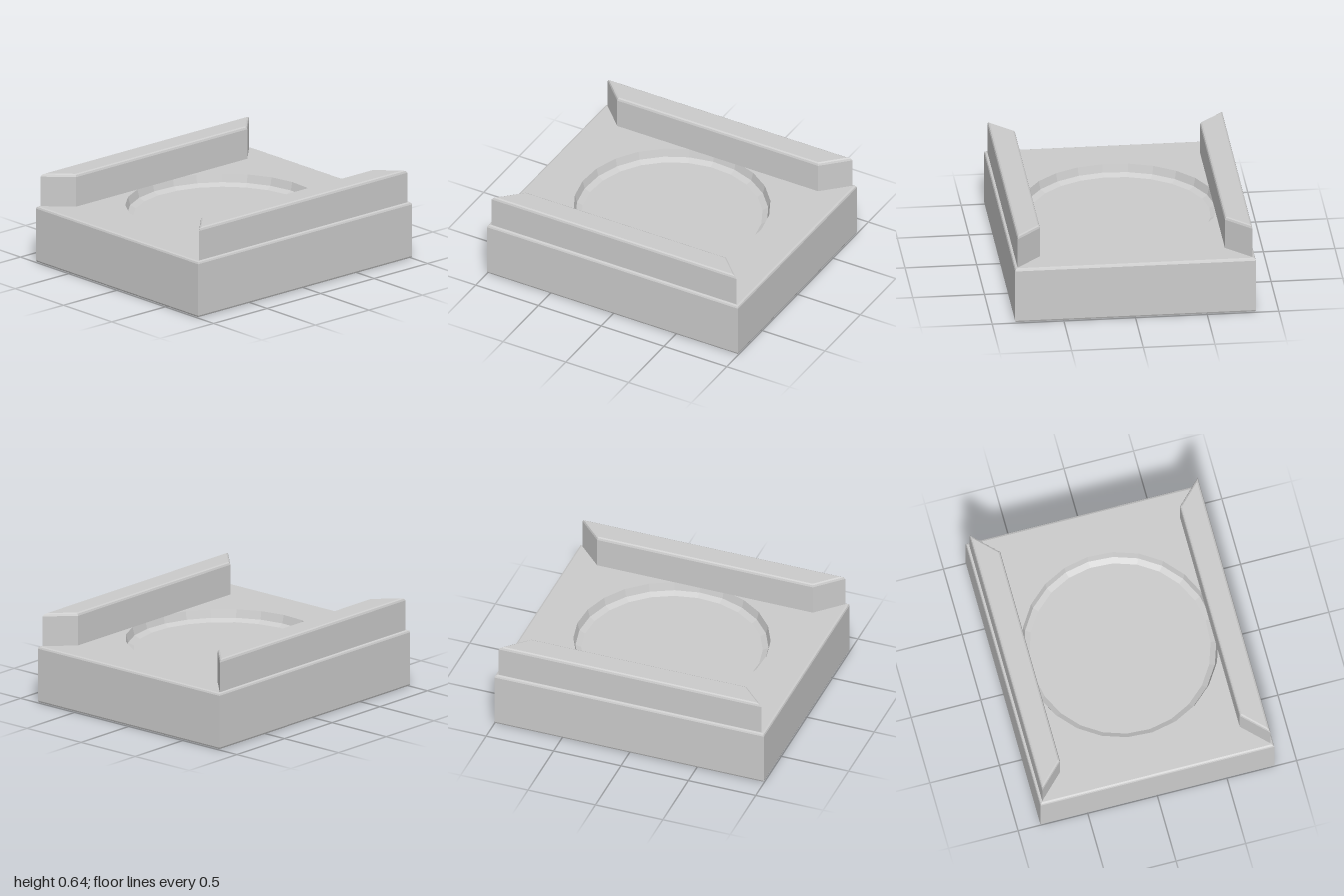
import * as THREE from 'three';

const material = new THREE.MeshStandardMaterial({ color: 0xcccccc, flatShading: true });

// Skin between four-cornered rings (counter-clockwise from above, bottom to top)
function loft(rings, capTop) {
  const index = [];
  for (let r = 0; r < rings.length - 1; r++) {
    for (let i = 0; i < 4; i++) {
      const a = r * 4 + i, b = r * 4 + (i + 1) % 4;
      index.push(a, b, b + 4, a, b + 4, a + 4);
    }
  }
  index.push(0, 2, 1, 0, 3, 2);
  const t = (rings.length - 1) * 4;
  if (capTop) index.push(t, t + 1, t + 2, t, t + 2, t + 3);
  const geometry = new THREE.BufferGeometry();
  geometry.setAttribute('position', new THREE.Float32BufferAttribute(rings.flat(2), 3));
  geometry.setIndex(index);
  const flat = geometry.toNonIndexed();
  flat.computeVertexNormals();
  return flat;
}

function part(name, geometry) {
  const mesh = new THREE.Mesh(geometry, material);
  mesh.name = name;
  return mesh;
}

export function createModel() {
  const group = new THREE.Group();
  group.name = 'tray';
  const top = 0.41, bevel = 0.017;

  // Base block with softened top and bottom edges: [inset, height]
  const baseRing = ([inset, y]) => {
    const x = 0.84 - inset, z = 1 - inset;
    return [[x, y, z], [x, y, -z], [-x, y, -z], [-x, y, z]];
  };
  const baseProfile = [
    [bevel, 0], [0.005, 0.005], [0, bevel],
    [0, top - bevel], [0.005, top - 0.005], [bevel, top],
  ];
  group.add(part('base', loft(baseProfile.map(baseRing), false)));

  // Top face with a 24-sided opening
  const sides = 24, turn = 0.073, radius = 0.685;
  const x = 0.84 - bevel, z = 1 - bevel;
  const face = new THREE.Shape([[x, z], [-x, z], [-x, -z], [x, -z]].map(p => new THREE.Vector2(...p)));
  const rim = [];
  for (let i = 0; i < sides; i++) {
    const a = turn + (i / sides) * Math.PI * 2;
    rim.push(new THREE.Vector2(radius * Math.sin(a), -radius * Math.cos(a)));
  }
  face.holes.push(new THREE.Path(rim));
  const faceGeometry = new THREE.ShapeGeometry(face).rotateX(-Math.PI / 2).translate(0, top, 0);
  group.add(part('topFace', faceGeometry));

  // Shallow round recess with a chamfered floor edge
  const recess = [[radius, top], [0.67, 0.352], [0.63, 0.332], [0, 0.332]];
  group.add(part('recess', new THREE.LatheGeometry(
    recess.map(p => new THREE.Vector2(...p)), sides, turn)));

  // Side rails with mitred ends and softened top edges
  const railRing = ([inset, y]) => {
    const outer = 0.82 - inset, inner = 0.645 + inset;
    const end = px => px + 0.155 - inset * Math.SQRT2;
    return [
      [outer, y, end(outer)], [outer, y, -end(outer)],
      [inner, y, -end(inner)], [inner, y, end(inner)],
    ];
  };
  const railGeometry = loft([[0, top], [0, 0.625], [0.005, 0.639], [0.015, 0.645]].map(railRing), true);
  const leftRail = part('leftRail', railGeometry);
  const rightRail = part('rightRail', railGeometry);
  rightRail.rotation.y = Math.PI;
  group.add(leftRail, rightRail);

  return group;
}
